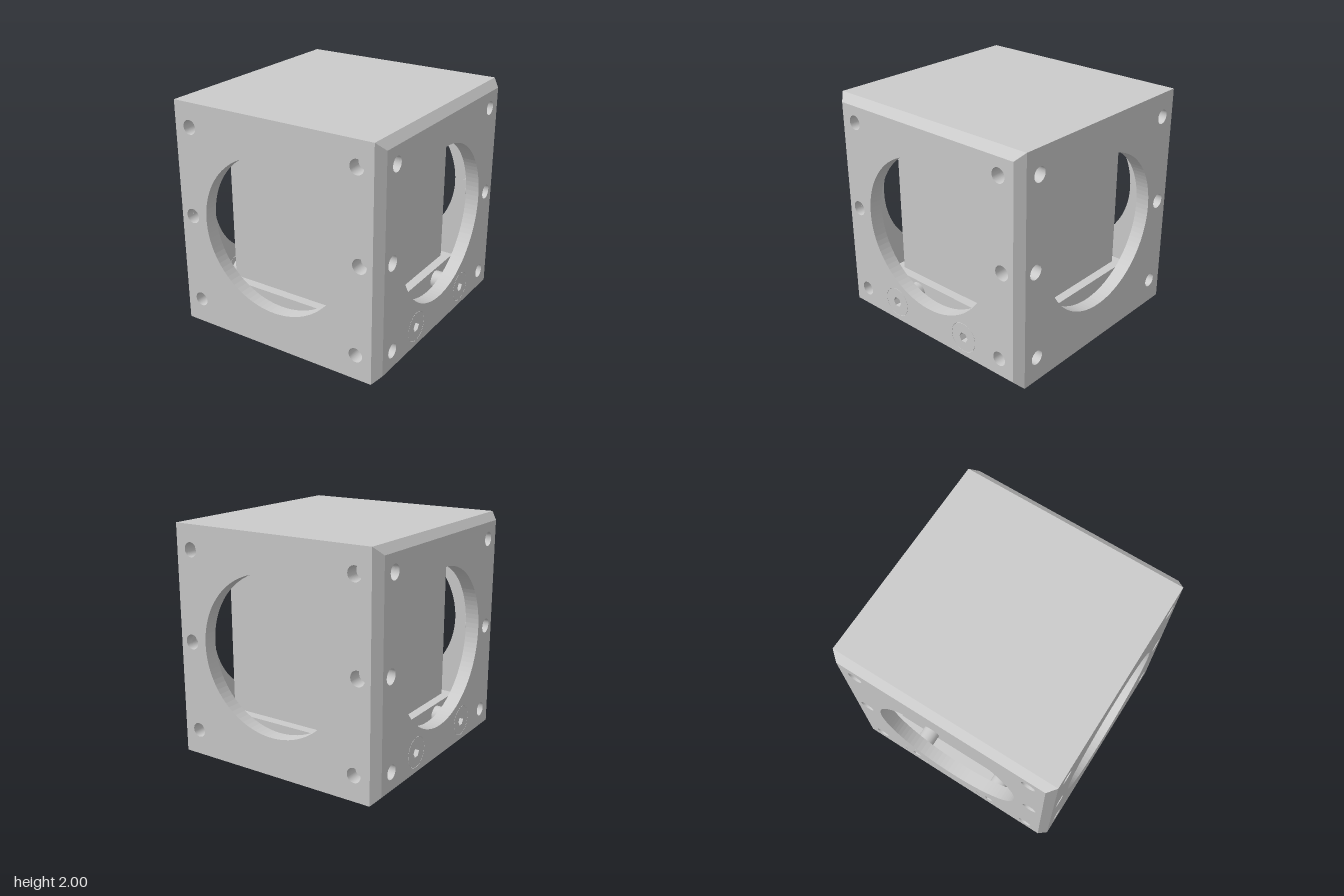
import * as THREE from 'three';
import { ConvexGeometry } from 'three/addons/geometries/ConvexGeometry.js';

const material = new THREE.MeshStandardMaterial({ color: 0xcccccc });
const C = 0.935;      // where the chamfers begin
const INNER = 0.88;   // inside face of the walls
const WALL = 1 - INNER;

function add(parent, name, geometry, x = 0, y = 0, z = 0) {
  const mesh = new THREE.Mesh(geometry, material);
  mesh.name = name;
  mesh.position.set(x, y, z);
  parent.add(mesh);
  return mesh;
}

// Flat plate with round holes [x, y, radius], or hexagons when sides = 6
function plate(halfW, halfH, holes, depth) {
  const shape = new THREE.Shape([
    new THREE.Vector2(-halfW, -halfH), new THREE.Vector2(halfW, -halfH),
    new THREE.Vector2(halfW, halfH), new THREE.Vector2(-halfW, halfH),
  ]);
  for (const [x, y, r] of holes) {
    shape.holes.push(new THREE.Path().absarc(x, y, r, 0, Math.PI * 2, true));
  }
  return new THREE.ExtrudeGeometry(shape, { depth, bevelEnabled: false, curveSegments: 48 });
}

// Screw head with a hexagonal socket, facing +z
function screwHead(radius, socket, depth) {
  const shape = new THREE.Shape().absarc(0, 0, radius, 0, Math.PI * 2, false);
  const hex = [];
  for (let i = 0; i < 6; i++) {
    const a = -i * Math.PI / 3;
    hex.push(new THREE.Vector2(socket * Math.cos(a), socket * Math.sin(a)));
  }
  shape.holes.push(new THREE.Path(hex));
  return new THREE.ExtrudeGeometry(shape, { depth, bevelEnabled: false, curveSegments: 32 });
}

// Rod of given length along z, starting at z = 0 and running to -z
function rod(radius, length) {
  return new THREE.CylinderGeometry(radius, radius, length, 24)
    .rotateX(Math.PI / 2).translate(0, 0, -length / 2);
}

export function createModel() {
  const model = new THREE.Group();
  model.name = 'opticsCubeHousing';
  const body = new THREE.Group(); // works around the middle of the cube
  body.name = 'body';
  body.position.y = 1;
  model.add(body);

  const rodHoles = [];
  for (const s of [-1, 1]) {
    rodHoles.push([s * 0.79, 0.79, 0.062], [s * 0.79, -0.78, 0.062], [s * 0.82, 0.005, 0.064]);
  }
  const screws = [[-0.4, -0.76], [0.4, -0.76]];

  // Four walls with a large port and blind rod holes; screws on the two sides
  ['front', 'left', 'back', 'right'].forEach((label, i) => {
    const side = i % 2 === 1;
    const wall = new THREE.Group();
    wall.name = label + 'Wall';
    wall.rotation.y = i * Math.PI / 2;
    body.add(wall);

    const holes = [[0, 0.01, 0.673], ...rodHoles];
    if (side) for (const [x, y] of screws) holes.push([x, y, 0.132]);
    add(wall, label + 'Panel', plate(C, side ? C : 1, holes, WALL), 0, 0, INNER);

    for (const [x, y, r] of rodHoles) {
      add(wall, 'rodHoleBottom', rod(r + 0.008, 0.04), x, y, INNER);
    }
    if (side) {
      for (const [x, y] of screws) {
        add(wall, 'screwHead', screwHead(0.129, 0.046, WALL), x, y, INNER);
        add(wall, 'screwShank', rod(0.08, 0.25), x, y, INNER + 0.02);
      }
    }
  });

  // Top plate, and bottom plate with a central mounting hole
  add(body, 'topPlate', plate(C, 1, [], WALL).rotateX(-Math.PI / 2), 0, INNER, 0);
  add(body, 'bottomPlate', plate(C, 1, [[0, 0, 0.06]], WALL).rotateX(Math.PI / 2), 0, -INNER, 0);

  // Chamfered edges: four upright, four running front to back
  const strip = (points) => new ConvexGeometry(points.map((p) => new THREE.Vector3(...p)));
  for (const sx of [-1, 1]) {
    for (const s of [-1, 1]) {
      const upright = [], along = [];
      for (const e of [-1, 1]) {
        upright.push([sx * C, e, s], [sx, e * C, s * C], [sx * INNER, e * INNER, s * INNER]);
        along.push([sx * C, s, e], [sx, s * C, e * C], [sx * INNER, s * INNER, e * INNER]);
      }
      add(body, 'uprightChamfer', strip(upright));
      add(body, 'lengthwiseChamfer', strip(along));
    }
  }

  // Platform inside, carrying the solid prism cube
  add(model, 'platform', new THREE.BoxGeometry(1.5, 0.22, 1.5), 0, 0.23, 0);
  add(model, 'prismCube', new THREE.BoxGeometry(1.336, 1.345, 1.336), 0, 1.0125, 0);

  return model;
}
